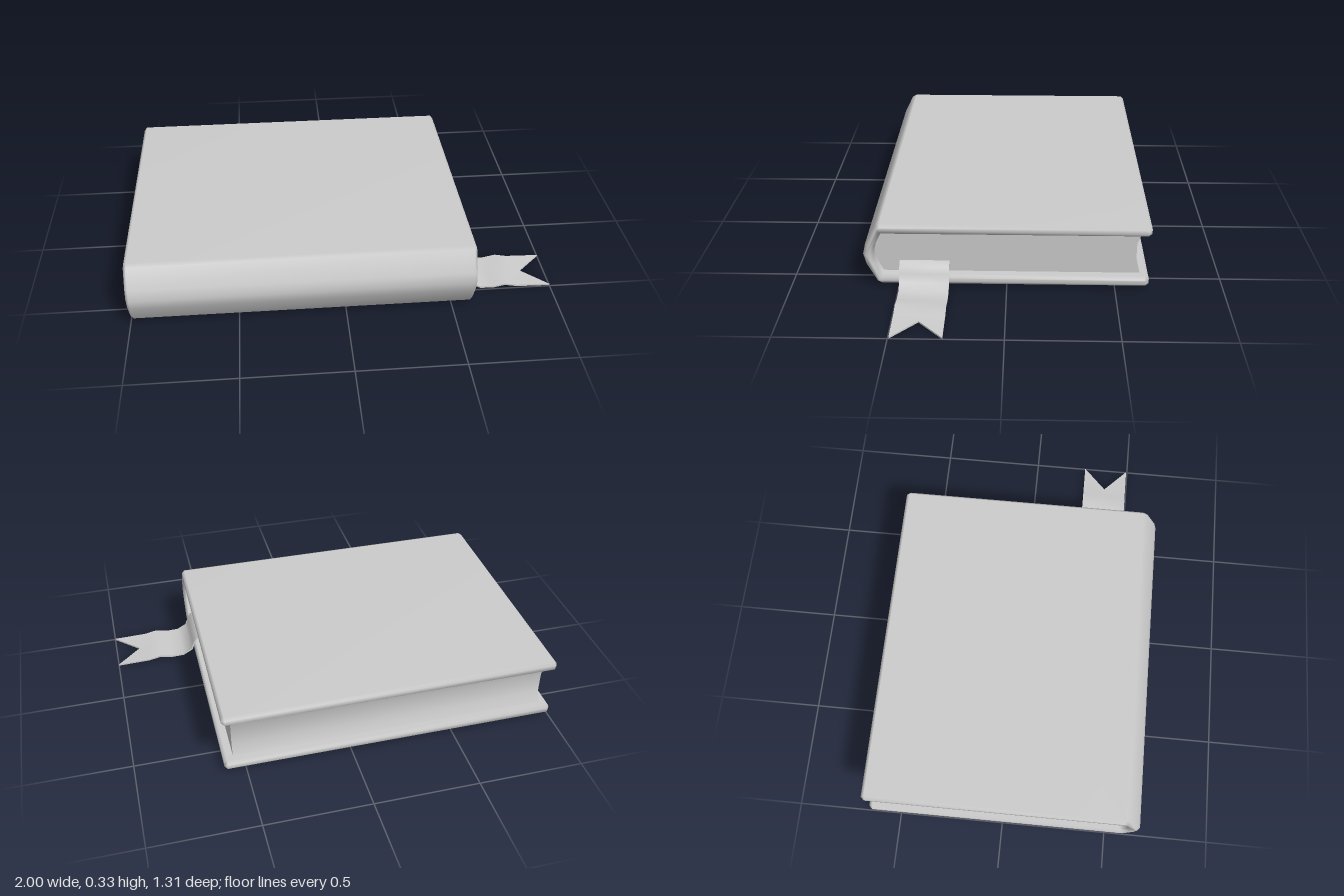
import * as THREE from 'three';
import { mergeVertices, toCreasedNormals } from 'three/addons/utils/BufferGeometryUtils.js';

const material = new THREE.MeshStandardMaterial({ color: 0xcccccc });

const shapeFrom = (points) => new THREE.Shape(points.map(([z, y]) => new THREE.Vector2(z, y)));

// Mirror the upper half of a (z, y) outline about the mid height of the book
const MID = 0.172;
const mirrored = (half) => [...half, ...half.map(([z, y]) => [z, -y]).reverse()]
  .map(([z, y]) => [z, y + MID]);

// Extrude a (z, y) outline along x, between x0 and x1
function extrudeAlongX(points, x0, x1, bevel) {
  const geometry = new THREE.ExtrudeGeometry(shapeFrom(points), {
    depth: x1 - x0 - 2 * bevel,
    bevelEnabled: bevel > 0,
    bevelThickness: bevel,
    bevelSize: bevel,
    bevelOffset: -bevel,
    bevelSegments: 1,
  });
  geometry.rotateY(-Math.PI / 2);
  geometry.translate(x1 - bevel, 0, 0);
  return geometry;
}

// Boards and rounded spine as one C-shaped section with softened edges
function createCover() {
  const outer = mirrored([[-0.64, 0.157], [0.575, 0.157], [0.598, 0.146], [0.645, 0.052], [0.657, 0]]);
  const inner = mirrored([[-0.64, 0.106], [0.572, 0.106], [0.602, 0.045], [0.61, 0]]).reverse();
  outer.splice(4, 1); // drop the doubled point at the mirror line
  inner.splice(3, 1);
  const lip = (s) => [[-0.655, MID + s * 0.12], [-0.655, MID + s * 0.143]];
  const points = [...lip(1), ...outer, ...lip(-1).reverse(), ...inner];
  let geometry = extrudeAlongX(points, -1, 0.6, 0.014);
  geometry.deleteAttribute('normal');
  geometry.deleteAttribute('uv');
  geometry = mergeVertices(geometry, 1e-4);
  geometry.computeVertexNormals();
  return new THREE.Mesh(geometry, material);
}

// Page block with a hollow fore edge and a rounded back
function createPages() {
  const points = mirrored([[-0.595, 0.05], [-0.616, 0.11], [0.57, 0.11], [0.6, 0.045], [0.607, 0.005]]);
  return new THREE.Mesh(toCreasedNormals(extrudeAlongX(points, -0.955, 0.555, 0), 0.7), material);
}

// Thin ribbon following an (x, y) path, with a swallowtail end
function createRibbon() {
  const path = [
    [0.53, 0.119], [0.565, 0.116], [0.585, 0.1], [0.6, 0.072], [0.615, 0.036], [0.66, 0.011],
    [0.72, 0.008], [0.78, 0.021], [0.84, 0.009], [1, 0.005],
  ].map(([x, y]) => new THREE.Vector2(x, y));
  const last = path.length - 1;
  const thickness = 0.008, width = 0.23, centre = 0.38, notch = 0.88;
  const geometry = new THREE.BoxGeometry(1, 1, 1, last, 1, 2);
  const p = geometry.attributes.position;
  for (let n = 0; n < p.count; n++) {
    const i = Math.round((p.getX(n) + 0.5) * last);
    const tangent = path[Math.min(i + 1, last)].clone().sub(path[Math.max(i - 1, 0)]).normalize();
    if (i === last) tangent.set(1, 0);
    const offset = p.getY(n) * thickness;
    const inNotch = i === last && Math.abs(p.getZ(n)) < 0.1;
    p.setXYZ(n,
      (inNotch ? notch : path[i].x) - tangent.y * offset,
      path[i].y + tangent.x * offset,
      centre + p.getZ(n) * width);
  }
  return new THREE.Mesh(toCreasedNormals(geometry, 0.9), material);
}

export function createModel() {
  const book = new THREE.Group();
  book.name = 'book';
  const parts = { cover: createCover(), pages: createPages(), ribbonBookmark: createRibbon() };
  for (const [name, mesh] of Object.entries(parts)) {
    mesh.name = name;
    book.add(mesh);
  }
  return book;
}
